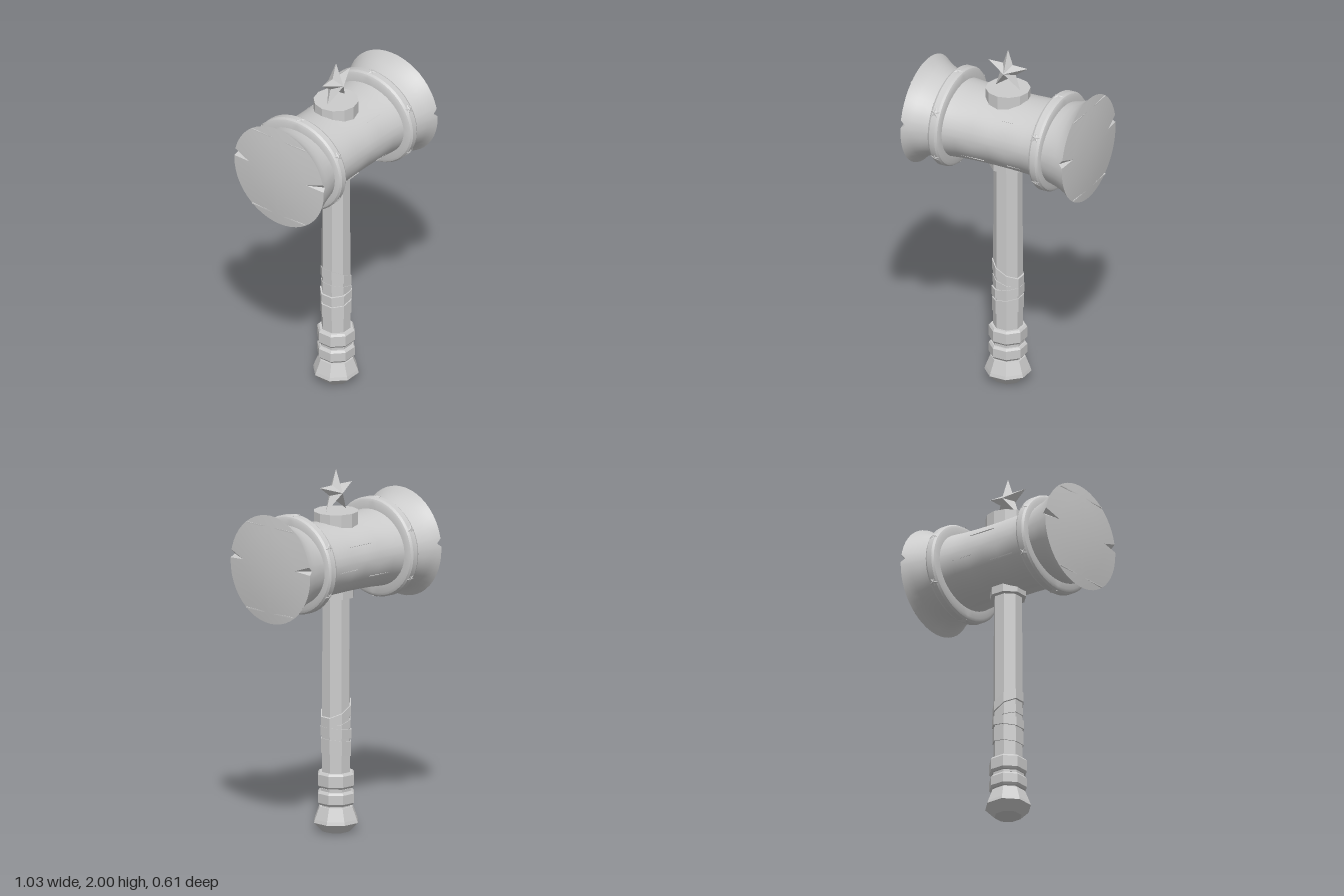
import * as THREE from 'three';
import { toCreasedNormals } from 'three/addons/utils/BufferGeometryUtils.js';

const HEAD_Y = 1.522;
const NOTCH = 0.135, NOTCH_HALF = 0.075;

const smooth = new THREE.MeshStandardMaterial({ color: 0xcccccc });
const flat = new THREE.MeshStandardMaterial({ color: 0xcccccc, flatShading: true });

function add(parent, name, geometry, material) {
  const mesh = new THREE.Mesh(geometry, material);
  mesh.name = name;
  parent.add(mesh);
  return mesh;
}

// Skin elliptical sections [x, ry, rz] along x; a section marked 'rim' gets two V notches
function loft(sections, notched) {
  const centres = [NOTCH, Math.PI - NOTCH];
  const angles = [];
  for (let i = 0; i < 48; i++) {
    const a = (i / 48) * Math.PI * 2 - Math.PI / 2;
    if (!notched || centres.every((c) => Math.abs(a - c) > NOTCH_HALF + 0.03)) angles.push(a);
  }
  if (notched) for (const c of centres) angles.push(c - NOTCH_HALF, c, c + NOTCH_HALF);
  angles.sort((p, q) => p - q);
  const n = angles.length, points = [], index = [];
  for (const [x, ry, rz, rim] of sections) {
    for (const a of angles) {
      const cut = rim && centres.includes(a);
      points.push(new THREE.Vector3(
        cut ? Math.sign(x) * 0.505 : x,
        (cut ? 0.2 : ry) * Math.sin(a),
        (cut ? 0.2 : rz) * Math.cos(a)));
    }
  }
  for (let i = 0; i < sections.length - 1; i++) {
    for (let j = 0; j < n; j++) {
      const k = (j + 1) % n;
      const a = i * n + j, b = a + n, c = (i + 1) * n + k, d = i * n + k;
      // the shorter diagonal keeps the notch walls clean
      if (points[a].distanceTo(points[c]) < points[b].distanceTo(points[d])) index.push(a, b, c, a, c, d);
      else index.push(a, b, d, b, c, d);
    }
  }
  const g = new THREE.BufferGeometry().setFromPoints(points);
  g.setIndex(index);
  return toCreasedNormals(g, 0.5);
}

// Eight-sided turned part with a flat side to the front; profile of [radius, y]
function octagon(profile) {
  const k = 1 / Math.cos(Math.PI / 8);
  const g = new THREE.LatheGeometry(profile.map(([r, y]) => new THREE.Vector2(r * k, y)), 8);
  return g.rotateY(Math.PI / 8);
}

// Five-pointed star, ridged on both faces
function starGeometry(outer, inner, depth) {
  const pts = [];
  for (let i = 0; i < 10; i++) {
    const a = Math.PI / 2 + (i * Math.PI) / 5, r = i % 2 ? inner : outer;
    pts.push(new THREE.Vector3(r * Math.cos(a), r * Math.sin(a), 0));
  }
  const front = new THREE.Vector3(0, 0, depth), back = new THREE.Vector3(0, 0, -depth);
  const tris = [];
  pts.forEach((p, i) => {
    const q = pts[(i + 1) % 10];
    tris.push(front, p, q, back, q, p);
  });
  const g = new THREE.BufferGeometry().setFromPoints(tris);
  g.computeVertexNormals();
  return g;
}

function buildHead() {
  const head = new THREE.Group();
  head.name = 'head';
  head.position.y = HEAD_Y;

  // Waisted barrel with flared ends and shallow domed faces
  const half = [
    [0.1, 0.2, 0.238], [0.2, 0.204, 0.241], [0.28, 0.21, 0.25], [0.34, 0.217, 0.263],
    [0.39, 0.228, 0.277], [0.435, 0.246, 0.29], [0.47, 0.272, 0.3], [0.493, 0.299, 0.307, true],
    [0.505, 0.2, 0.2], [0.515, 0, 0],
  ];
  const mirrored = half.map(([x, ...rest]) => [-x, ...rest]).reverse();
  add(head, 'barrel', loft([...mirrored, [0, 0.199, 0.236], ...half], true), smooth);

  for (const s of [-1, 1]) {
    // Rounded band with six small stars
    const band = [
      [-0.035, 0.2, 0.23], [-0.035, 0.25, 0.276], [-0.028, 0.264, 0.291], [-0.016, 0.272, 0.299],
      [0.016, 0.272, 0.299], [0.028, 0.264, 0.291], [0.035, 0.25, 0.276], [0.035, 0.2, 0.23],
    ];
    add(head, 'band', loft(band, false), smooth).position.x = s * 0.307;
    for (let i = 0; i < 6; i++) {
      const a = Math.PI / 6 + (i * Math.PI) / 3;
      const stud = add(head, 'bandStar', starGeometry(0.029, 0.013, 0.008), flat);
      stud.position.set(s * 0.307, 0.271 * Math.sin(a), 0.298 * Math.cos(a));
      stud.rotation.x = -a;
    }
    // Plank seams across the striking face
    for (const t of [-1, 1]) {
      const seam = add(head, 'faceSeam', new THREE.BoxGeometry(0.006, 0.006, 0.36), flat);
      seam.position.set(s * 0.497, t * 0.236, 0);
    }
  }

  // Short wood-grain marks along the barrel: [x, angle, length]
  const grain = [
    [-0.12, -0.65, 0.15], [0.18, -0.6, 0.16], [0.11, 0.77, 0.1],
    [0.015, 2.65, 0.16], [-0.12, 3.6, 0.15], [0.15, 3.3, 0.16],
  ];
  for (const [x, a, length] of grain) {
    const mark = add(head, 'grainMark', new THREE.BoxGeometry(length, 0.005, 0.006), flat);
    mark.position.set(x, 0.2 * Math.sin(a), 0.238 * Math.cos(a));
    mark.rotation.x = -a;
  }
  return head;
}

function buildHandle() {
  const handle = new THREE.Group();
  handle.name = 'handle';
  add(handle, 'shaft', octagon([[0, 0.1], [0.075, 0.1], [0.073, 1.4], [0, 1.4]]), flat);
  add(handle, 'headSocket', octagon([[0.07, 1.29], [0.093, 1.295], [0.093, 1.36], [0, 1.36]]), flat);
  add(handle, 'pommel', octagon([
    [0, 0], [0.07, 0], [0.118, 0.052], [0.113, 0.07], [0.088, 0.14], [0, 0.14],
  ]), flat);

  // Chamfered grip rings with a thin spacer between
  for (const [y0, y1] of [[0.15, 0.225], [0.245, 0.33]]) {
    add(handle, 'gripRing', octagon([
      [0.06, y0], [0.088, y0], [0.097, y0 + 0.012], [0.097, y1 - 0.012], [0.088, y1], [0.06, y1],
    ]), flat);
  }
  add(handle, 'gripSpacer', octagon([[0.06, 0.228], [0.083, 0.228], [0.083, 0.242], [0.06, 0.242]]), flat);

  // Slanted wrappings: [bottom, top, slope, radius]
  for (const [y0, y1, slope, r] of [[0.425, 0.505, 0.15, 0.081], [0.52, 0.57, 0.15, 0.083], [0.625, 0.68, -0.55, 0.081], [0.565, 0.61, -0.3, 0.078]]) {
    const g = octagon([[0.065, y0], [r, y0], [r, y1], [0.065, y1]]);
    const p = g.attributes.position;
    for (let i = 0; i < p.count; i++) p.setY(i, p.getY(i) + slope * p.getX(i));
    add(handle, 'wrapping', g, flat);
  }
  return handle;
}

export function createModel() {
  const model = new THREE.Group();
  model.name = 'hammer';
  model.add(buildHandle(), buildHead());

  // Twelve-sided plinth and star on top of the head
  add(model, 'plinth', new THREE.CylinderGeometry(0.122, 0.122, 0.12, 12), flat).position.y = 1.71;
  add(model, 'topStar', starGeometry(0.127, 0.05, 0.052), flat).position.y = 1.873;
  return model;
}
